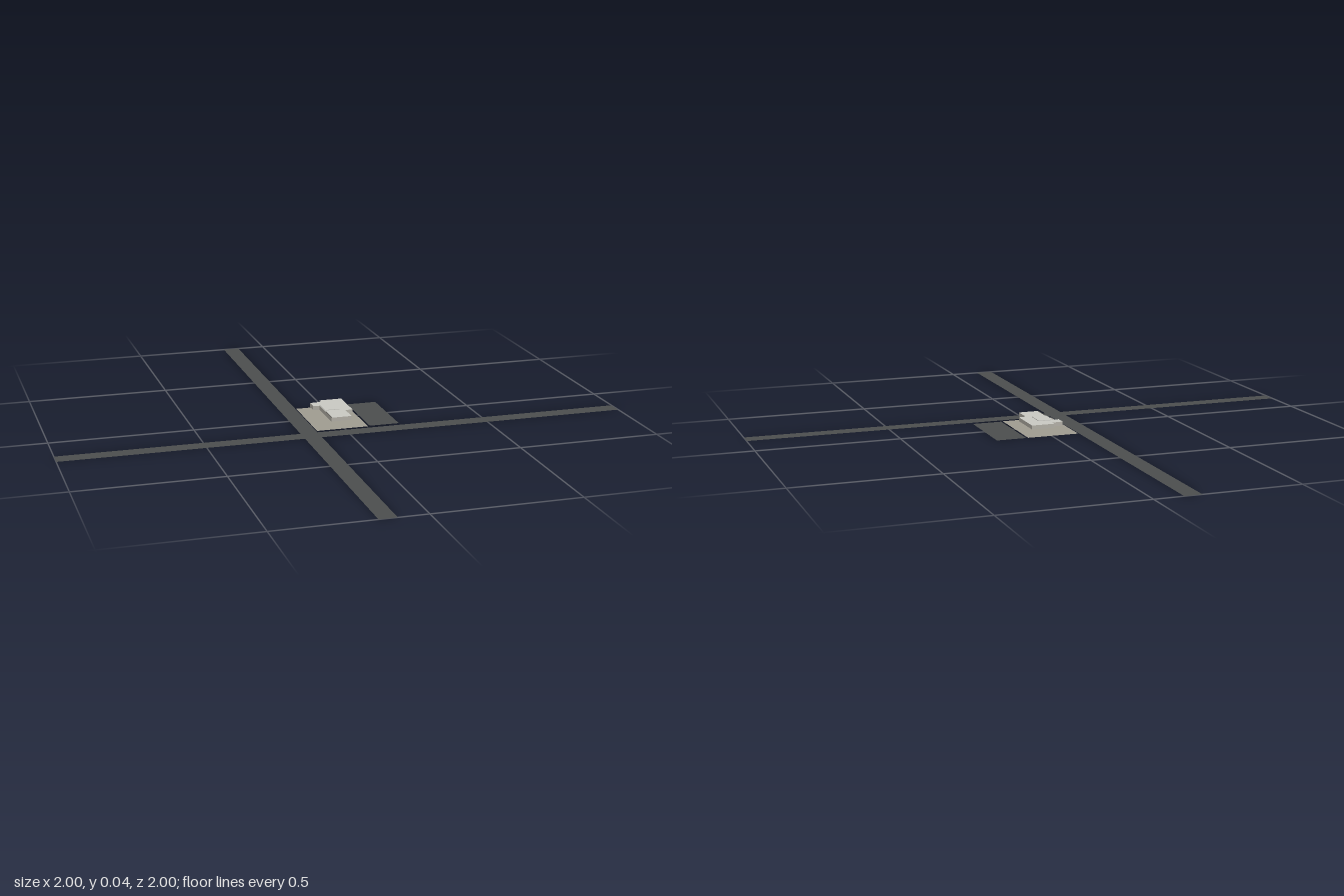
import * as THREE from 'three';

const mat = (name, color, side = THREE.FrontSide) => {
  const m = new THREE.MeshStandardMaterial({ color, side });
  m.name = name;
  return m;
};

export function createModel() {
  const model = new THREE.Group();
  model.name = 'siteModel';
  const asphalt = mat('asphalt', 0x4b4e4e, THREE.DoubleSide);
  const paving = mat('paving', 0x9f9b90, THREE.DoubleSide);
  const roofGrey = mat('roofGrey', 0xc8c8c2);
  const wallGrey = mat('wallGrey', 0xb4b1a8);
  const dark = mat('darkTrim', 0x55544f);

  const add = (name, geometry, material) => {
    const mesh = new THREE.Mesh(geometry, material);
    mesh.name = name;
    model.add(mesh);
    return mesh;
  };
  // Flat ground sheet between two corners
  const sheet = (name, x0, x1, z0, z1, y, material) => {
    const g = new THREE.PlaneGeometry(x1 - x0, z1 - z0).rotateX(-Math.PI / 2);
    add(name, g, material).position.set((x0 + x1) / 2, y, (z0 + z1) / 2);
  };
  // Box between two corners
  const box = (name, x0, x1, y0, y1, z0, z1, material) => {
    const g = new THREE.BoxGeometry(x1 - x0, y1 - y0, z1 - z0);
    add(name, g, material).position.set((x0 + x1) / 2, (y0 + y1) / 2, (z0 + z1) / 2);
  };

  // Ground: two crossing roads, paved plot, car park
  sheet('sideRoad', -0.161, -0.101, -1, 1, 0, asphalt);
  sheet('frontRoad', -1, 1, 0.147, 0.203, 0, asphalt);
  sheet('plot', -0.098, 0.086, -0.137, 0.132, 0, paving);
  sheet('carPark', 0.093, 0.199, -0.137, 0.128, 0, asphalt);

  // Raised storey with a stepped outline, as [x, z] corners
  const outline = [
    [-0.021, -0.105], [0.06, -0.105], [0.06, 0.03], [0.034, 0.035], [0.034, 0.105],
    [-0.039, 0.105], [-0.039, -0.04], [-0.061, -0.045], [-0.061, -0.083], [-0.021, -0.087],
  ];
  const shape = new THREE.Shape(outline.map(([x, z]) => new THREE.Vector2(x, -z)));
  const storey = new THREE.ExtrudeGeometry(shape, { depth: 0.014, bevelEnabled: false });
  storey.rotateX(-Math.PI / 2);
  add('storey', storey, [roofGrey, wallGrey]).position.y = 0.02;

  // Low roof box and a dark joint beside it
  box('roofBox', -0.037, 0.016, 0.034, 0.036, -0.05, 0.019, roofGrey);
  box('roofJoint', -0.039, -0.036, 0.034, 0.0345, 0.03, 0.1, dark);

  // Stair sloping from the storey down to the ground
  const top = new THREE.Vector3(0.002, 0.03, 0);
  const foot = new THREE.Vector3(0.002, 0.006, -0.028);
  const stair = add('stair', new THREE.BoxGeometry(0.01, 0.003, top.distanceTo(foot)), dark);
  stair.position.copy(top).add(foot).multiplyScalar(0.5);
  stair.lookAt(top);

  return model;
}
